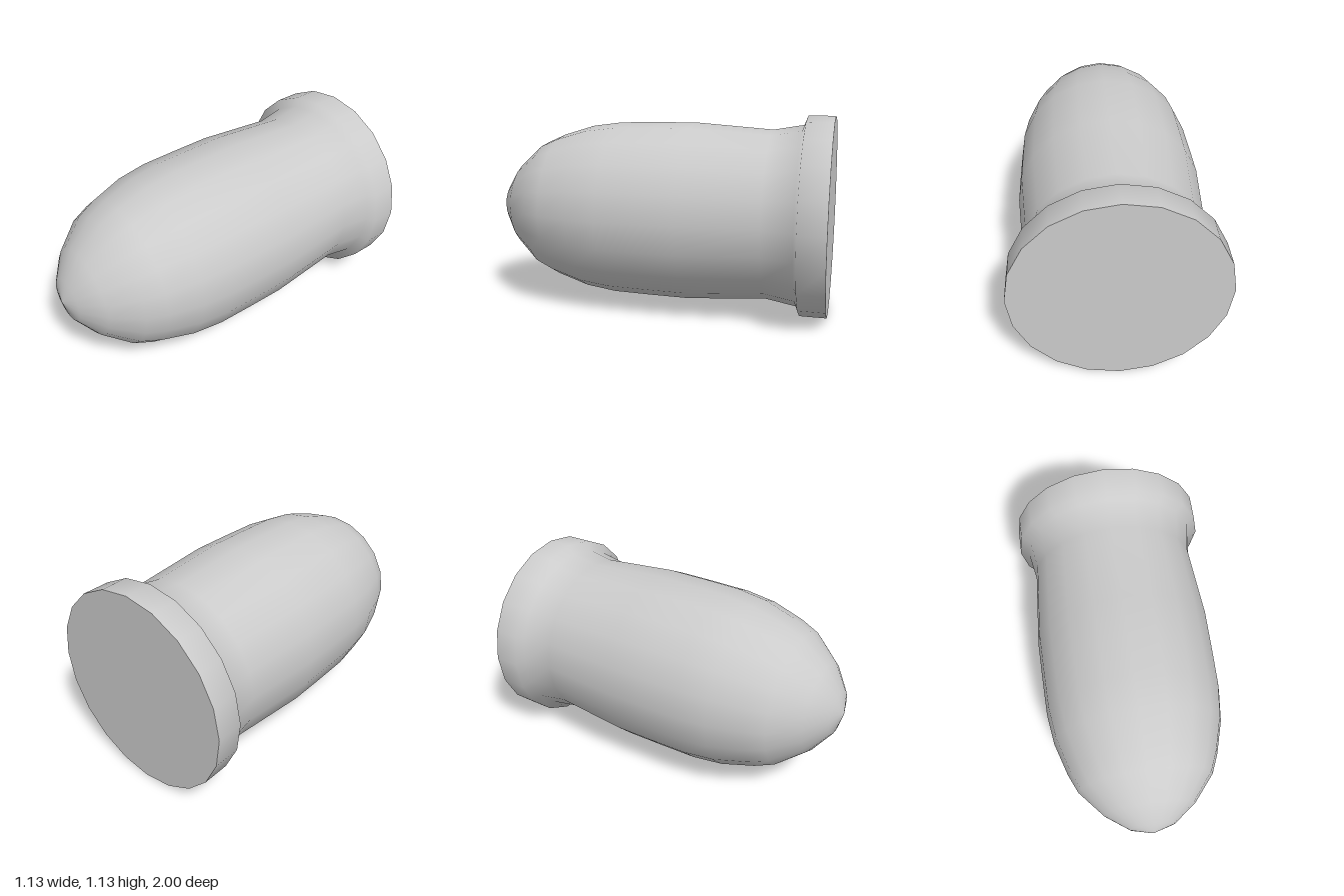
import * as THREE from 'three';

const SIDES = 20;
const AXIS_Y = 0.567;

export function createModel() {
  const group = new THREE.Group();
  const material = new THREE.MeshStandardMaterial({ color: 0xcccccc });

  function add(name, geometry) {
    const mesh = new THREE.Mesh(geometry, material);
    mesh.name = name;
    mesh.position.y = AXIS_Y;
    group.add(mesh);
  }

  // Turned shell: rim, slight waist, body and rounded nose, as [radius, z]
  const profile = [
    [0.566, -1], [0.566, -0.85], [0.514, -0.83], [0.485, -0.66],
    [0.519, -0.21], [0.517, 0.02], [0.513, 0.24], [0.49, 0.42],
    [0.433, 0.61], [0.385, 0.72], [0.257, 0.87], [0.126, 0.965], [0, 1],
  ].map(([r, z]) => new THREE.Vector2(r, z));
  add('shell', new THREE.LatheGeometry(profile, SIDES).rotateX(Math.PI / 2));

  // Flat base closing the back of the rim
  add('base', new THREE.CircleGeometry(0.566, SIDES).rotateY(Math.PI).translate(0, 0, -1));

  return group;
}
